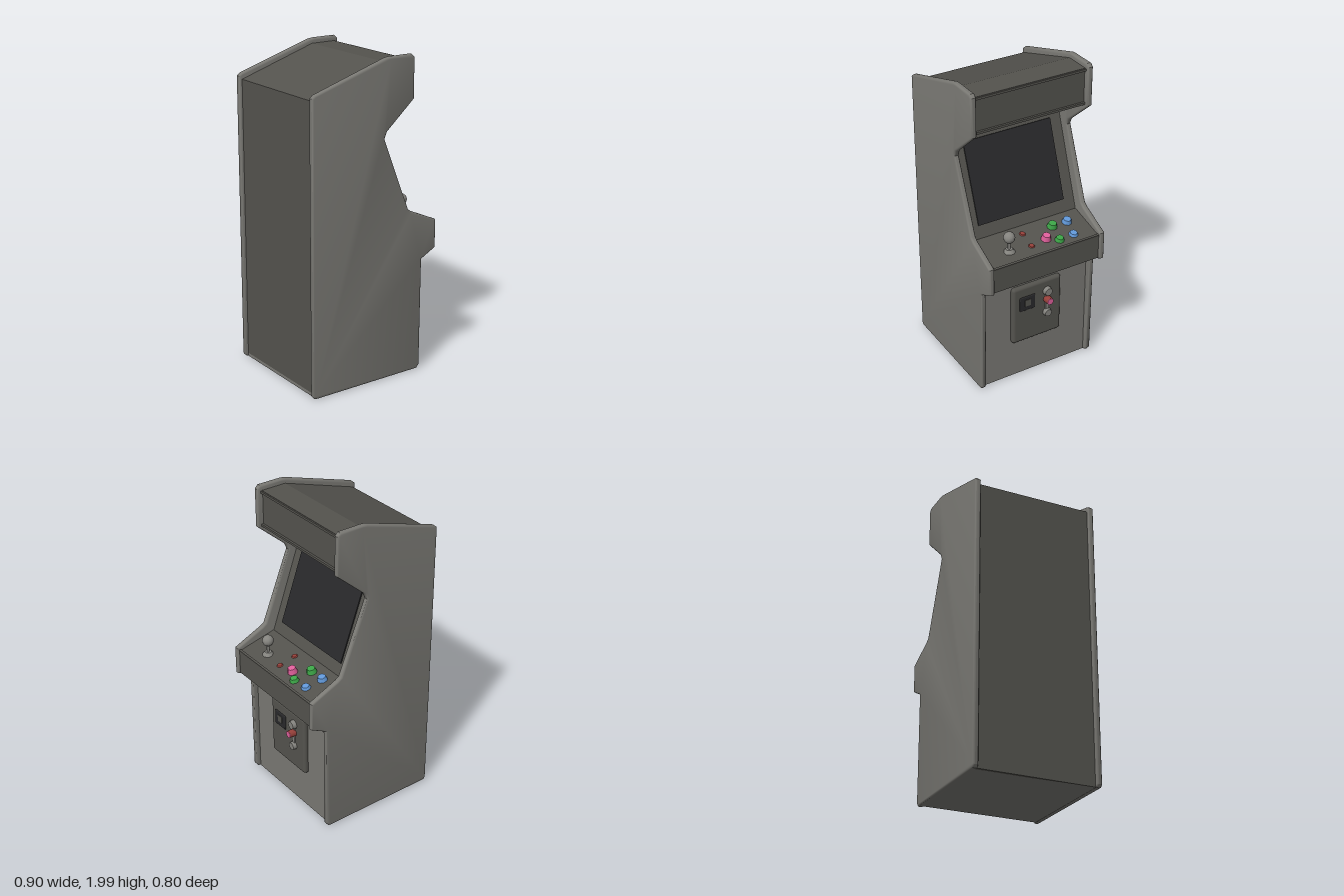
import * as THREE from 'three';
import { toCreasedNormals } from 'three/addons/utils/BufferGeometryUtils.js';
import { RoundedBoxGeometry } from 'three/addons/geometries/RoundedBoxGeometry.js';

const paint = (name, color) => {
  const m = new THREE.MeshStandardMaterial({ color });
  m.name = name;
  return m;
};

export function createModel() {
  const root = new THREE.Group();
  root.name = 'arcadeCabinet';
  const grey = paint('cabinetGrey', 0x7a7974);
  const dark = paint('darkGrey', 0x54534e);
  const black = paint('screenBlack', 0x29292b);
  const metal = paint('metalGrey', 0x85847f);
  const blue = paint('buttonBlue', 0x6299da);
  const green = paint('buttonGreen', 0x3da648);
  const pink = paint('buttonPink', 0xe0609c);
  const red = paint('buttonRed', 0x96403a);

  const add = (parent, name, geo, mat, x = 0, y = 0, z = 0) => {
    const mesh = new THREE.Mesh(geo, mat);
    mesh.name = name;
    mesh.position.set(x, y, z);
    parent.add(mesh);
    return mesh;
  };

  // Side panels: rounded slabs with the cabinet's profile
  const outline = [
    [-0.44, 0.012], [-0.455, 0.03], [-0.455, 1.825], [-0.435, 1.842], [0.06, 1.997], [0.09, 2],
    [0.245, 2], [0.265, 1.98], [0.265, 1.735], [0.07, 1.565], [0.053, 1.525], [0.235, 1.068],
    [0.26, 1.05], [0.45, 0.965], [0.45, 0.785], [0.345, 0.73], [0.342, 0.035], [0.325, 0.012],
  ].map(([x, y]) => new THREE.Vector2(x, y));
  const bevel = 0.013, thick = 0.036;
  const side = toCreasedNormals(new THREE.ExtrudeGeometry(new THREE.Shape(outline), {
    depth: thick - 2 * bevel, bevelEnabled: true, bevelThickness: bevel,
    bevelSize: bevel, bevelOffset: -bevel, bevelSegments: 3,
  }), 0.7);
  add(root, 'leftSidePanel', side, grey, 0, 0, 0.4 - thick + bevel);
  add(root, 'rightSidePanel', side, grey, 0, 0, -0.402 + bevel);

  // Boards between the sides; each runs from a to b with its outer face on the line.
  // In the returned group, x runs along the board and y points outward.
  const width = 0.744;
  const board = (name, a, b, mat) => {
    const dx = b[0] - a[0], dy = b[1] - a[1], len = Math.hypot(dx, dy);
    const g = new THREE.Group();
    g.name = name;
    g.position.set((a[0] + b[0]) / 2, (a[1] + b[1]) / 2, 0);
    g.rotation.z = Math.atan2(dy, dx);
    add(g, name + 'Board', new THREE.BoxGeometry(len, 0.02, width), mat, 0, -0.01, 0);
    root.add(g);
    return g;
  };
  board('back', [-0.435, 0.015], [-0.435, 1.805], dark);
  board('roofSlope', [-0.435, 1.805], [0.07, 1.968], dark);
  board('roofFront', [0.07, 1.968], [0.235, 1.968], dark);
  const marquee = board('marquee', [0.23, 1.965], [0.23, 1.74], dark);
  board('canopy', [0.235, 1.74], [-0.04, 1.62], dark);
  const bezel = board('screenBezel', [-0.04, 1.62], [0.18, 1.0], dark);
  const deck = board('controlDeck', [0.18, 1.005], [0.437, 0.945], dark);
  board('deckFront', [0.437, 0.945], [0.437, 0.788], dark);
  board('deckUnderside', [0.437, 0.788], [0.312, 0.745], dark);
  board('lowerFront', [0.312, 0.76], [0.312, 0.015], grey);
  board('base', [0.312, 0.015], [-0.435, 0.015], grey);

  // Trim strips around the marquee and along the deck edge
  for (const x of [-0.106, 0.106]) {
    add(marquee, 'marqueeTrim', new THREE.BoxGeometry(0.014, 0.016, width), dark, x, 0.006, 0);
  }
  add(deck, 'deckTrim', new THREE.BoxGeometry(0.014, 0.01, width), dark, 0.126, 0.002, 0);

  // Screen
  add(bezel, 'screen', new THREE.BoxGeometry(0.51, 0.008, 0.595), black, -0.01, 0.004, 0.005);

  // Push buttons: model x, z, colour, radius, height
  const deckX = x => (x - 0.3085) / Math.cos(deck.rotation.z);
  const buttons = [
    [0.26, -0.25, blue, 0.032, 0.026], [0.365, -0.23, blue, 0.03, 0.016],
    [0.26, -0.145, green, 0.033, 0.03], [0.373, -0.126, green, 0.03, 0.022],
    [0.335, -0.055, pink, 0.032, 0.034],
    [0.243, 0.053, red, 0.02, 0.006], [0.35, 0.055, red, 0.02, 0.006],
  ];
  for (const [x, z, mat, r, h] of buttons) {
    add(deck, 'button', new THREE.CylinderGeometry(r * 0.75, r, h, 9), mat, deckX(x), h / 2, z);
  }

  // Joystick
  const stick = new THREE.Group();
  stick.name = 'joystick';
  stick.position.set(0.335, 0.968, 0.2);
  add(stick, 'joystickBase', new THREE.CylinderGeometry(0.022, 0.038, 0.022, 10), metal, 0, 0.008, 0);
  add(stick, 'joystickShaft', new THREE.CylinderGeometry(0.009, 0.009, 0.08, 8), metal, 0, 0.045, 0);
  add(stick, 'joystickBall', new THREE.SphereGeometry(0.036, 12, 8), metal, 0, 0.096, 0);
  root.add(stick);

  // Coin door with slot and knobs
  const door = new THREE.Group();
  door.name = 'coinDoor';
  door.position.set(0.34, 0.475, 0);
  add(door, 'doorPanel', new RoundedBoxGeometry(0.05, 0.405, 0.345, 3, 0.02), dark, -0.025, 0, 0.003);
  add(door, 'coinSlot', new RoundedBoxGeometry(0.014, 0.1, 0.108, 2, 0.006), black, 0, 0.08, 0.075);
  add(door, 'coinSlotFlap', new THREE.BoxGeometry(0.006, 0.045, 0.04), dark, 0.007, 0.085, 0.075);
  const knob = (name, y, r, len, mat) => {
    const m = add(door, name, new THREE.CylinderGeometry(r * 0.85, r, len, 10), mat, len / 2 - 0.002, y, -0.065);
    m.rotation.z = -Math.PI / 2;
    return m;
  };
  knob('upperKnob', 0.122, 0.03, 0.028, metal);
  knob('coinButton', 0.062, 0.026, 0.044, red);
  knob('coinButtonCap', 0.062, 0.0258, 0.047, pink).scale.set(0.98, 1, 0.98);
  knob('lowerKnob', -0.035, 0.028, 0.026, metal);
  add(door, 'knobBar', new THREE.BoxGeometry(0.012, 0.19, 0.022), metal, 0.002, 0.04, -0.065);
  root.add(door);

  return root;
}
